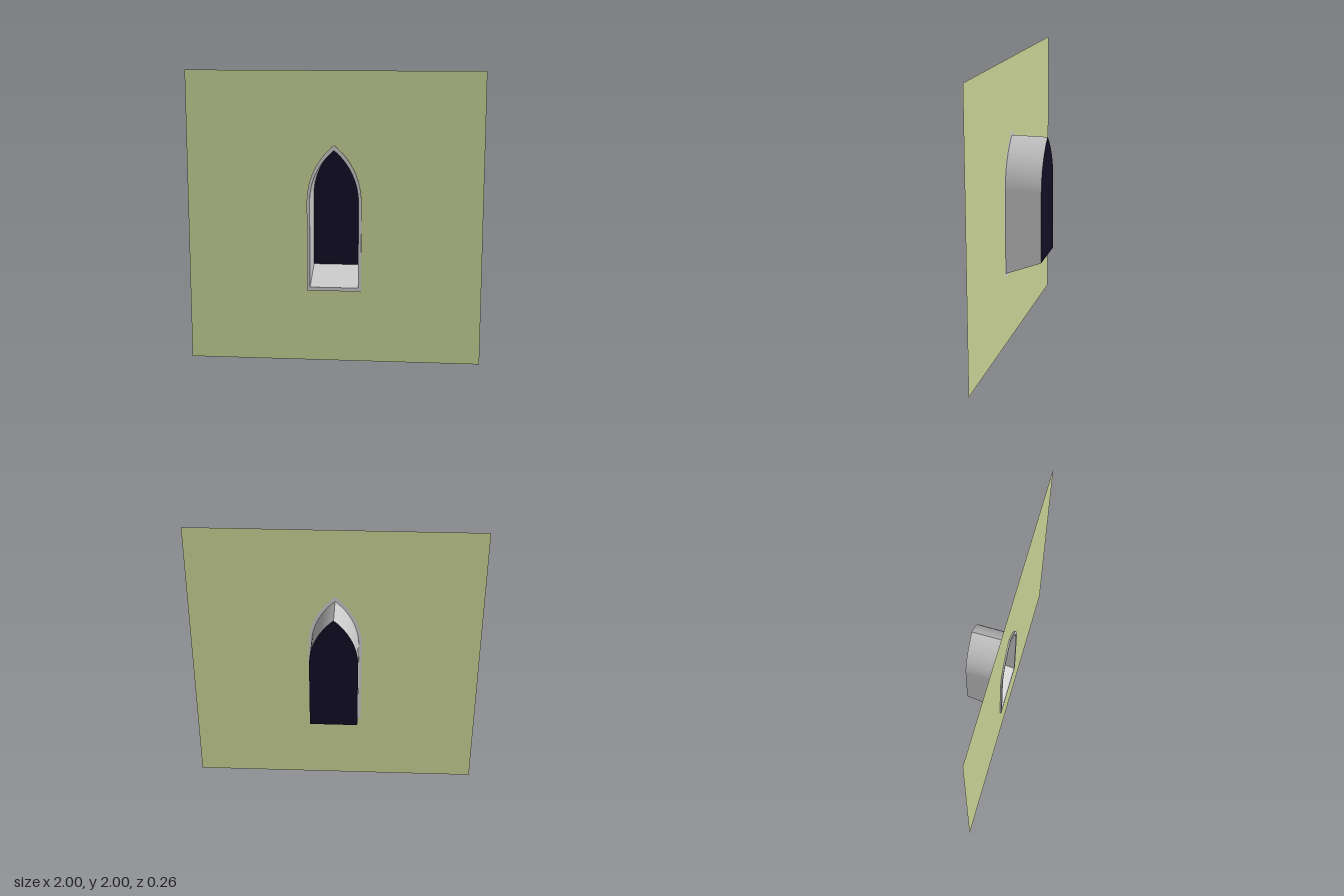
import * as THREE from 'three';

const FRONT = 0.13, WALL_Z = 0.12, BACK = -0.13;
const SPRING = 1.12; // height where the pointed arch begins
const INNER = { half: 0.165, sill: 0.525, tip: 1.47 };
const OUTER = { half: 0.185, sill: 0.5, tip: 1.505 };
const BACK_SILL = 0.625;

// One side of the lancet outline, from the sill up to the tip
function halfOutline({ half, sill, tip }, side, steps = 12) {
  const rise = tip - SPRING;
  const r = (half * half + rise * rise) / (2 * half);
  const end = Math.asin(rise / r);
  const pts = [new THREE.Vector2(side * half, sill)];
  for (let i = 0; i <= steps; i++) {
    const a = (end * i) / steps;
    const x = i === steps ? 0 : r * Math.cos(a) - (r - half);
    pts.push(new THREE.Vector2(side * x, SPRING + r * Math.sin(a)));
  }
  return pts;
}

// Closed lancet outline, counter-clockwise from the front
function lancet(size) {
  const left = halfOutline(size, -1).reverse();
  return [...halfOutline(size, 1), ...left.slice(1)];
}

// Smooth surface strip between the front and back edges
function strip(front, back) {
  const pos = [], index = [];
  front.forEach((p, i) => {
    pos.push(p.x, p.y, WALL_Z, back[i].x, back[i].y, BACK);
    if (i) {
      const k = 2 * i;
      index.push(k - 2, k - 1, k, k, k - 1, k + 1);
    }
  });
  const geo = new THREE.BufferGeometry();
  geo.setAttribute('position', new THREE.Float32BufferAttribute(pos, 3));
  geo.setIndex(index);
  geo.computeVertexNormals();
  return geo;
}

export function createModel() {
  const group = new THREE.Group();
  const stone = new THREE.MeshStandardMaterial({ color: 0xcccccc });
  const stoneThin = new THREE.MeshStandardMaterial({ color: 0xcccccc, side: THREE.DoubleSide });
  const plaster = new THREE.MeshStandardMaterial({ color: 0xc9d496, side: THREE.DoubleSide });
  const dark = new THREE.MeshStandardMaterial({ color: 0x110e25, side: THREE.DoubleSide });

  const add = (name, geo, mat, z = 0) => {
    const mesh = new THREE.Mesh(geo, mat);
    mesh.name = name;
    mesh.position.z = z;
    group.add(mesh);
  };

  // Thin wall with the window opening
  const wall = new THREE.Shape([
    new THREE.Vector2(-1, 0), new THREE.Vector2(1, 0),
    new THREE.Vector2(1, 2), new THREE.Vector2(-1, 2),
  ]);
  wall.holes.push(new THREE.Path(lancet(OUTER)));
  add('wall', new THREE.ShapeGeometry(wall), plaster, WALL_Z);

  // Raised trim around the opening
  const trim = new THREE.Shape(lancet(OUTER));
  trim.holes.push(new THREE.Path(lancet(INNER)));
  add('frame', new THREE.ExtrudeGeometry(trim, { depth: FRONT - WALL_Z, bevelEnabled: false }), stone, WALL_Z);

  // Reveal: each jamb runs smoothly into its half of the arch
  const backSize = { ...INNER, sill: BACK_SILL };
  for (const [name, side] of [['leftReveal', 1], ['rightReveal', -1]]) {
    add(name, strip(halfOutline(INNER, side), halfOutline(backSize, side)), stoneThin);
  }

  // Sill sloping up towards the back
  const edge = (y) => [new THREE.Vector2(-INNER.half, y), new THREE.Vector2(INNER.half, y)];
  add('slopingSill', strip(edge(INNER.sill), edge(BACK_SILL)), stoneThin);

  // Dark pane closing the back of the niche
  add('pane', new THREE.ShapeGeometry(new THREE.Shape(lancet(backSize))), dark, BACK);

  return group;
}
